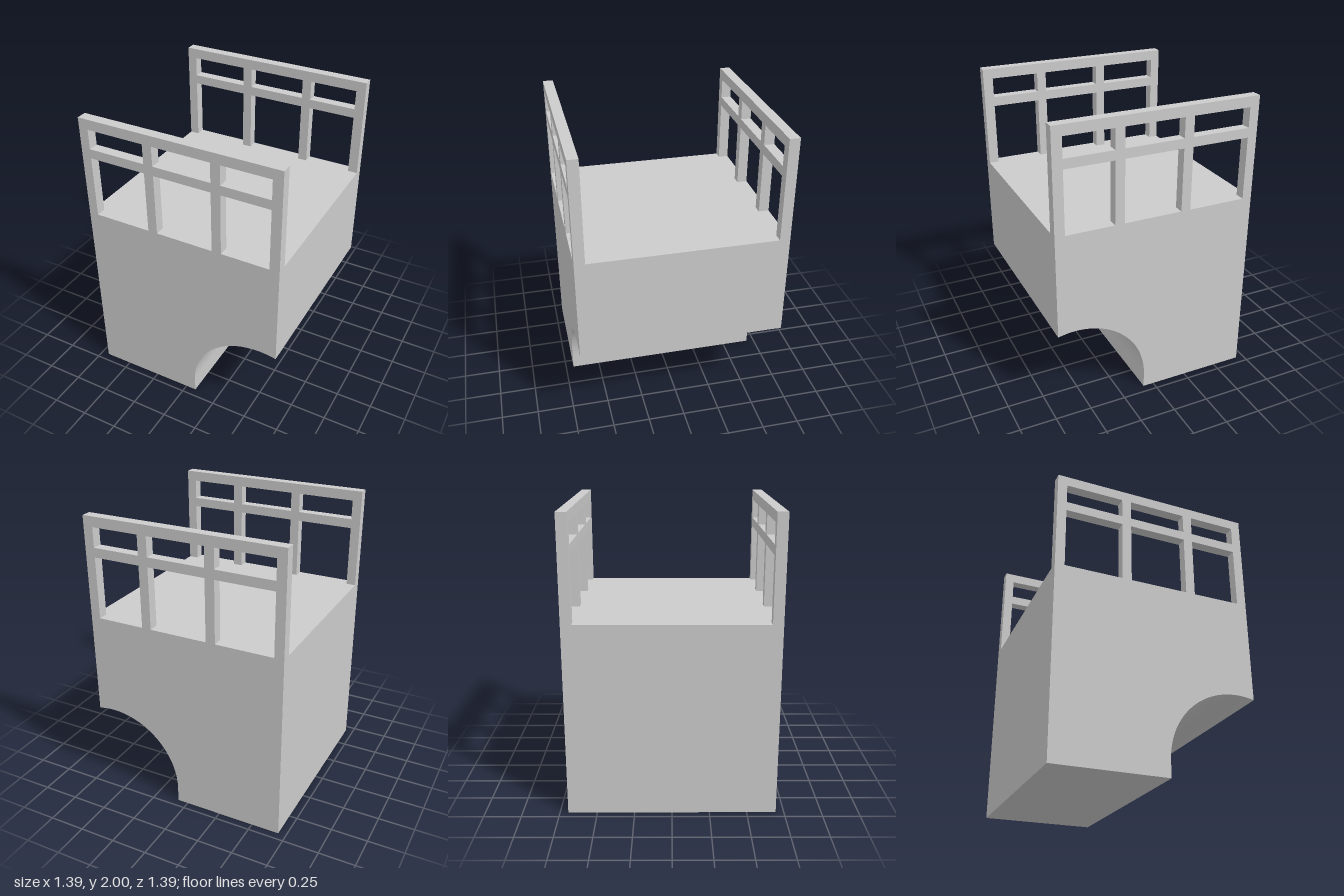
import * as THREE from 'three';
import { toCreasedNormals } from 'three/addons/utils/BufferGeometryUtils.js';

const HALF = 0.695;   // half width and half depth
const DECK = 1.305;   // top of the solid body
const TOP = 2;
const RAIL = 0.07;    // railing thickness

const material = new THREE.MeshStandardMaterial({ color: 0xcccccc });

function extrude(name, shape, depth, z) {
  const geometry = new THREE.ExtrudeGeometry(shape, { depth, bevelEnabled: false, curveSegments: 48 });
  const mesh = new THREE.Mesh(toCreasedNormals(geometry, 0.5), material);
  mesh.name = name;
  mesh.position.z = z;
  return mesh;
}

// Solid block with an arch cut from its lower +x corner
function bodyShape() {
  const cx = 0.575, cy = 0.11, r = 0.5;
  const s = new THREE.Shape();
  s.moveTo(-HALF, 0);
  s.lineTo(cx - r, 0);
  s.lineTo(cx - r, cy);
  s.absarc(cx, cy, r, Math.PI, Math.acos((HALF - cx) / r), true);
  s.lineTo(HALF, DECK);
  s.lineTo(-HALF, DECK);
  s.closePath();
  return s;
}

// Frame with four posts: tall openings stand on the deck, small ones lie under the top rail
function railingShape() {
  const bays = [[-0.63, -0.232], [-0.167, 0.233], [0.298, 0.628]];
  const s = new THREE.Shape();
  s.moveTo(-HALF, DECK);
  for (const [a, b] of bays) {
    s.lineTo(a, DECK);
    s.lineTo(a, 1.73);
    s.lineTo(b, 1.73);
    s.lineTo(b, DECK);
    const hole = new THREE.Path();
    hole.moveTo(a, 1.795);
    hole.lineTo(a, 1.93);
    hole.lineTo(b, 1.93);
    hole.lineTo(b, 1.795);
    hole.closePath();
    s.holes.push(hole);
  }
  s.lineTo(HALF, DECK);
  s.lineTo(HALF, TOP);
  s.lineTo(-HALF, TOP);
  s.closePath();
  return s;
}

export function createModel() {
  const model = new THREE.Group();
  model.name = 'archedBlockWithRailings';
  model.add(
    extrude('body', bodyShape(), 2 * HALF, -HALF),
    extrude('frontRailing', railingShape(), RAIL, HALF - RAIL),
    extrude('backRailing', railingShape(), RAIL, -HALF),
  );
  return model;
}
